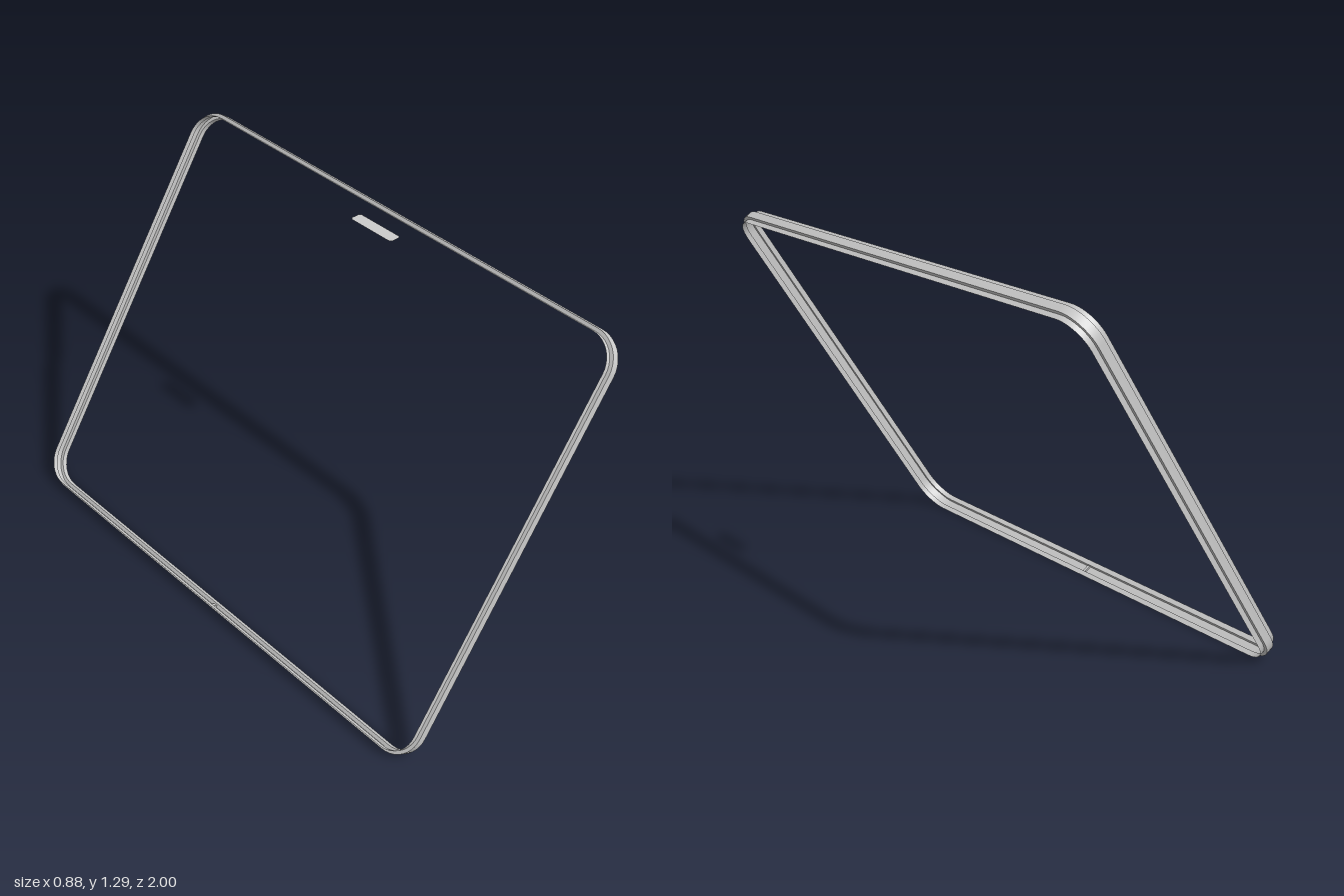
import * as THREE from 'three';
import { toCreasedNormals } from 'three/addons/utils/BufferGeometryUtils.js';

const material = new THREE.MeshStandardMaterial({ color: 0xcccccc, side: THREE.DoubleSide });

// Stepped wall section: [across the band, outward offset]; the middle strip is raised
const section = [
  [0.035, -0.0125], [0.016, -0.0125], [0.016, 0],
  [-0.014, 0], [-0.014, -0.0125], [-0.033, -0.0125],
];

// Sweep the section round a rounded, slightly tapered rectangle (top edge is wider)
function bandGeometry(halfLength, topHalf, bottomHalf, radius, steps) {
  const rings = [];
  for (let c = 0; c < 4; c++) {
    const sx = c === 0 || c === 3 ? 1 : -1;
    const sz = c < 2 ? 1 : -1;
    const half = sx > 0 ? topHalf : bottomHalf;
    for (let k = 0; k <= steps; k++) {
      const a = (c + k / steps) * Math.PI / 2;
      rings.push(section.map(([t, o]) => [
        sx * (halfLength - radius) + (radius + o) * Math.cos(a),
        t,
        sz * (half - radius) + (radius + o) * Math.sin(a),
      ]));
    }
  }
  const index = [];
  const n = section.length;
  for (let i = 0; i < rings.length; i++) {
    const a = i * n, b = ((i + 1) % rings.length) * n;
    for (let j = 0; j < n - 1; j++) {
      index.push(a + j, b + j, a + j + 1, b + j, b + j + 1, a + j + 1);
    }
  }
  const geometry = new THREE.BufferGeometry();
  geometry.setAttribute('position', new THREE.Float32BufferAttribute(rings.flat(2), 3));
  geometry.setIndex(index);
  return toCreasedNormals(geometry, 0.6);
}

// Flat rounded rectangle, w along x and d along z, facing up
function plateGeometry(w, d, r) {
  const s = new THREE.Shape();
  const x = w / 2, y = d / 2;
  s.absarc(x - r, y - r, r, 0, Math.PI / 2);
  s.absarc(-x + r, y - r, r, Math.PI / 2, Math.PI);
  s.absarc(-x + r, -y + r, r, Math.PI, Math.PI * 1.5);
  s.absarc(x - r, -y + r, r, Math.PI * 1.5, Math.PI * 2);
  return new THREE.ShapeGeometry(s, 6).rotateX(-Math.PI / 2);
}

export function createModel() {
  const model = new THREE.Group();
  model.name = 'tiltedFrame';

  // Leaning frame: local x runs up the slope, local y across the band
  const frame = new THREE.Group();
  frame.name = 'frame';
  frame.rotation.z = Math.atan2(0.835, 0.551);
  frame.position.y = 0.645;
  model.add(frame);

  const band = new THREE.Mesh(bandGeometry(0.762, 1, 0.986, 0.11, 10), material);
  band.name = 'edgeBand';
  frame.add(band);

  // Small catch inside the lower edge
  const catchPiece = new THREE.Mesh(new THREE.BoxGeometry(0.006, 0.026, 0.012), material);
  catchPiece.name = 'lowerCatch';
  catchPiece.position.set(-0.757, 0.001, 0);
  frame.add(catchPiece);

  // Thin level tab beside the upper edge
  const tab = new THREE.Mesh(plateGeometry(0.045, 0.195, 0.012), material);
  tab.name = 'upperTab';
  tab.position.set(0.327, 1.26, -0.005);
  model.add(tab);

  return model;
}
